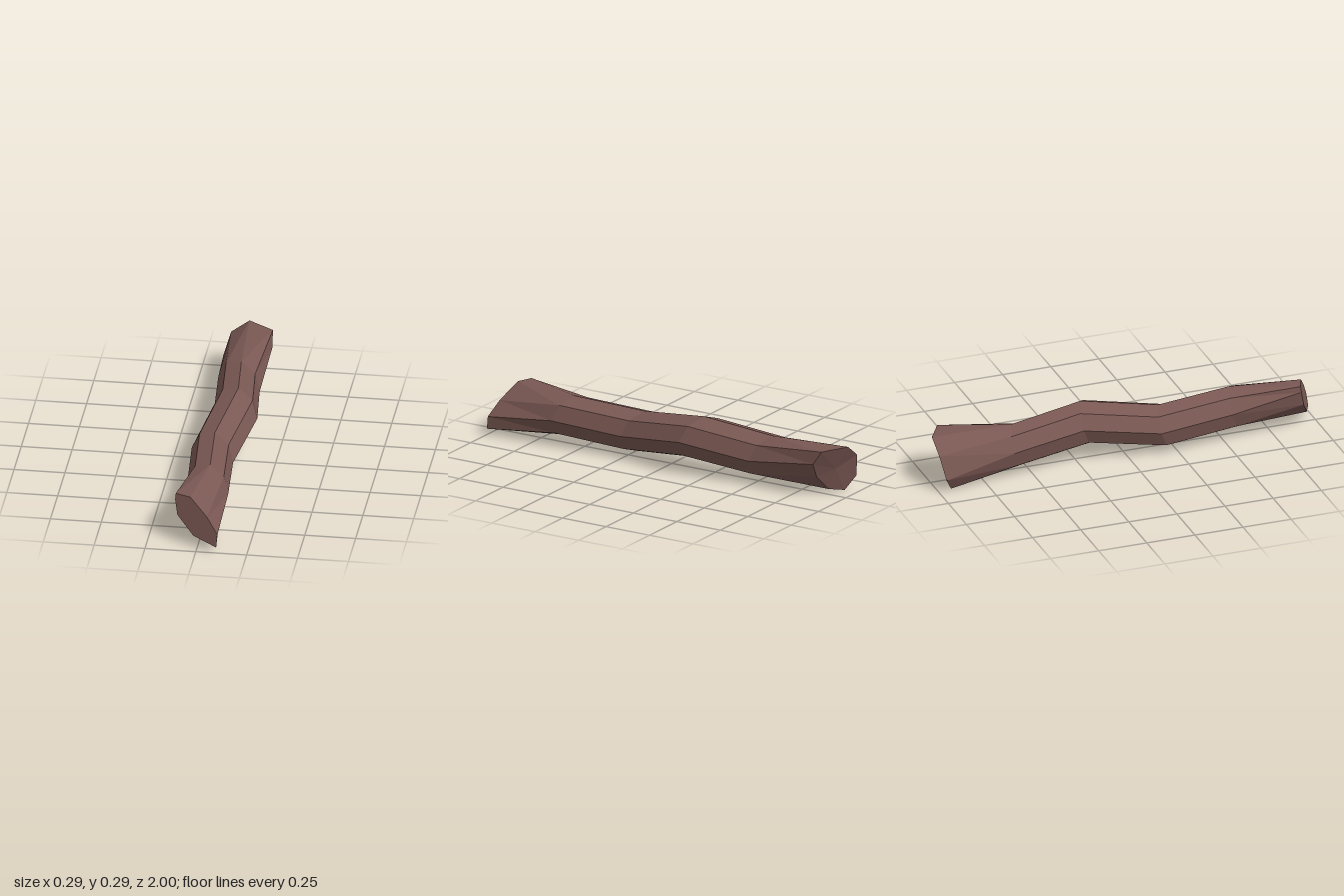
import * as THREE from 'three';

const SIDES = 8;
const V = (x, y, z) => new THREE.Vector3(x, y, z);

// Tilted eight-sided ring around the crooked axis
function ring(cx, cy, cz, r) {
  return Array.from({ length: SIDES }, (_, j) => {
    const a = THREE.MathUtils.degToRad(-4 + j * 45);
    const dx = r * Math.cos(a), dy = r * Math.sin(a);
    return V(cx + dx, cy + dy, cz + 0.45 * dx - 0.28 * dy);
  });
}

function meshFrom(name, points, material) {
  const geometry = new THREE.BufferGeometry().setFromPoints(points);
  geometry.computeVertexNormals();
  const mesh = new THREE.Mesh(geometry, material);
  mesh.name = name;
  return mesh;
}

// Triangle fan closing one sawn end
function cap(name, points, front, material) {
  const center = points.reduce((s, p) => s.add(p), V(0, 0, 0)).divideScalar(points.length);
  const tris = [];
  points.forEach((p, j) => {
    const q = points[(j + 1) % points.length];
    tris.push(center, ...(front ? [p, q] : [q, p]));
  });
  return meshFrom(name, tris, material);
}

export function createModel() {
  const group = new THREE.Group();
  group.name = 'woodenStick';
  const wood = new THREE.MeshStandardMaterial({ color: 0x7a5853, flatShading: true });
  wood.name = 'brownWood';

  // Slanted, flattened front cut
  const frontEnd = [
    [0.105, 0.095], [0.05, 0.17], [-0.04, 0.25], [-0.115, 0.25],
    [-0.118, 0.22], [-0.105, 0.145], [-0.02, 0.06], [0.1, 0.03],
  ].map(([x, y]) => V(x, y, 0.965 + 0.4 * x - 0.155 * y));

  // Slanted back cut
  const backEnd = [
    [0.11, 0.18, -0.88], [0.105, 0.25, -0.925], [-0.02, 0.255, -1], [-0.11, 0.19, -0.995],
    [-0.145, 0.07, -0.97], [-0.1, 0, -0.93], [-0.02, 0.02, -0.89], [0.06, 0.1, -0.87],
  ].map((p) => V(...p));

  const rings = [
    frontEnd,
    ring(0, 0.145, 0.58, 0.107),
    ring(-0.032, 0.123, 0.2, 0.109),
    ring(0.03, 0.177, -0.18, 0.112),
    ring(-0.008, 0.135, -0.55, 0.109),
    backEnd,
  ];

  // Bark surface lofted from front to back
  const tris = [];
  for (let i = 0; i < rings.length - 1; i++) {
    for (let j = 0; j < SIDES; j++) {
      const k = (j + 1) % SIDES;
      const a = rings[i][j], b = rings[i][k], c = rings[i + 1][j], d = rings[i + 1][k];
      tris.push(a, c, b, b, c, d);
    }
  }
  group.add(
    meshFrom('bark', tris, wood),
    cap('frontCut', frontEnd, true, wood),
    cap('backCut', backEnd, false, wood),
  );
  return group;
}
